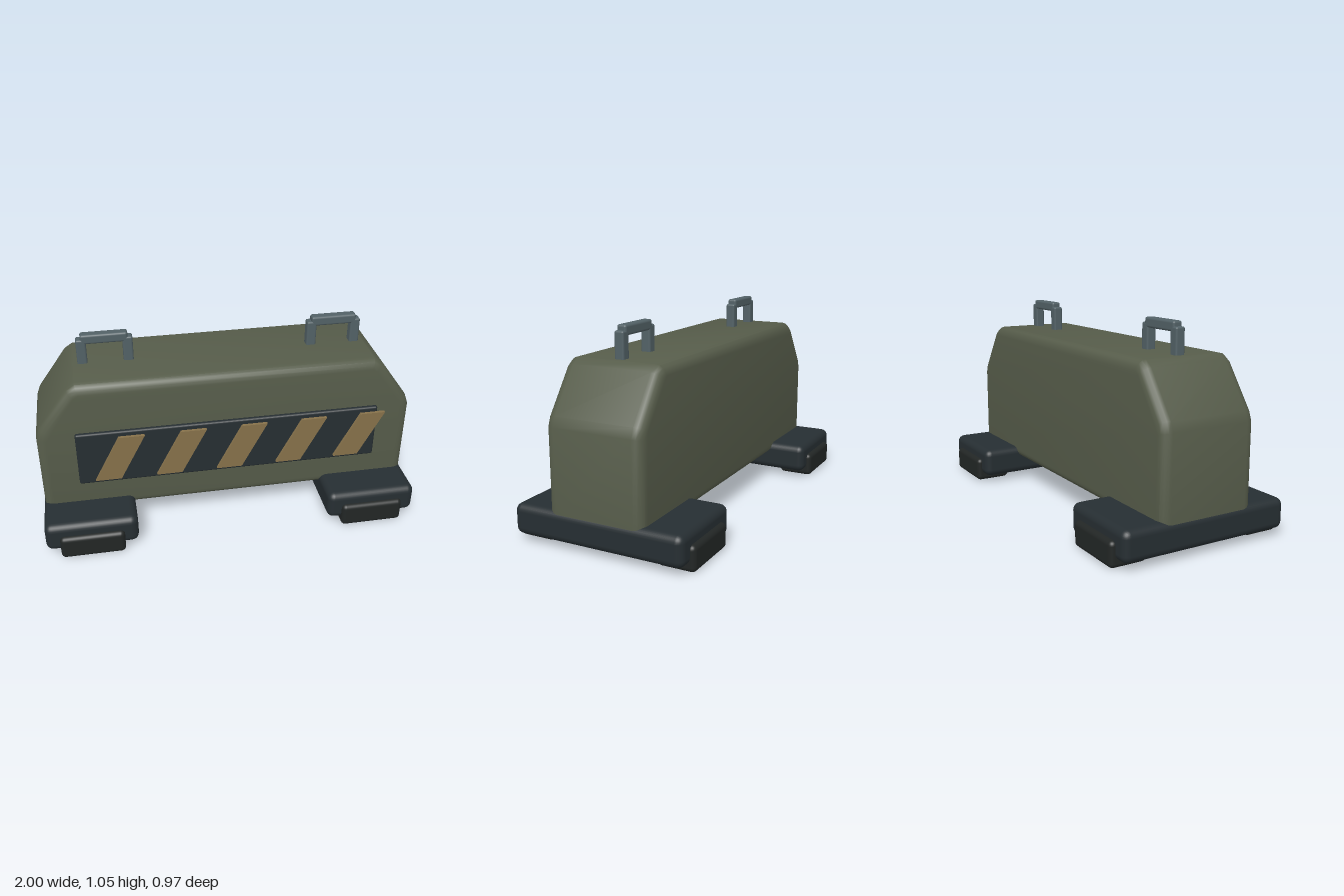
import * as THREE from 'three';
import { RoundedBoxGeometry } from 'three/addons/geometries/RoundedBoxGeometry.js';
import { toCreasedNormals } from 'three/addons/utils/BufferGeometryUtils.js';

const material = (color) => new THREE.MeshStandardMaterial({ color });
const OLIVE = material(0x565c4a);
const DARK = material(0x262e32);
const RUBBER = material(0x222625);
const OCHRE = material(0x86714a);
const STEEL = material(0x526166);

// Rounded box given by its minimum and maximum corners
function block(name, mat, [x0, y0, z0], [x1, y1, z1], radius) {
  const geo = new RoundedBoxGeometry(x1 - x0, y1 - y0, z1 - z0, 3, radius);
  const mesh = new THREE.Mesh(geo, mat);
  mesh.position.set((x0 + x1) / 2, (y0 + y1) / 2, (z0 + z1) / 2);
  mesh.name = name;
  return mesh;
}

function polygon(points) {
  return new THREE.Shape(points.map(([x, y]) => new THREE.Vector2(x, y)));
}

// Barrier body: sloped-shoulder outline with softly bevelled front and back
function createBody() {
  const half = [[0.993, 0.135], [0.993, 0.6], [0.975, 0.65], [0.82, 0.865], [0.775, 0.895]];
  const outline = [...half, ...half.map(([x, y]) => [-x, y]).reverse()];
  const bevel = 0.05;
  const depth = 0.52 - 2 * bevel;
  const geo = new THREE.ExtrudeGeometry(polygon(outline), {
    depth, bevelEnabled: true, bevelThickness: bevel, bevelSize: bevel,
    bevelOffset: -bevel, bevelSegments: 4,
  });
  geo.translate(0, 0, -depth / 2);
  const body = new THREE.Mesh(toCreasedNormals(geo, 0.6), OLIVE);
  body.name = 'body';
  return body;
}

// Hazard panel with five slanted stripes standing proud of the front
function createHazardPanel() {
  const group = new THREE.Group();
  group.name = 'hazardPanel';
  group.add(block('panelPlate', DARK, [-0.797, 0.337, 0.279], [0.792, 0.642, 0.306], 0.011));

  const shape = polygon([[-0.133, -0.127], [0, -0.127], [0.133, 0.127], [0, 0.127]]);
  const geo = new THREE.ExtrudeGeometry(shape, { depth: 0.017, bevelEnabled: false });
  for (let i = 0; i < 5; i++) {
    const stripe = new THREE.Mesh(geo, OCHRE);
    stripe.position.set(-0.58 + i * 0.319, 0.488, 0.305);
    stripe.name = 'stripe';
    group.add(stripe);
  }
  return group;
}

// Lifting handle: two posts and a crossbar
function createHandle() {
  const group = new THREE.Group();
  group.name = 'handle';
  for (const side of [-1, 1]) {
    const x = side * 0.119;
    group.add(block('handlePost', STEEL, [x - 0.026, 0.86, -0.026], [x + 0.026, 1.028, 0.026], 0.01));
  }
  group.add(block('handleBar', STEEL, [-0.121, 1.002, -0.026], [0.121, 1.054, 0.026], 0.012));
  return group;
}

// Crosswise base beam with a rubber foot at each end
function createBase() {
  const group = new THREE.Group();
  group.name = 'base';
  group.add(block('baseBeam', DARK, [-0.242, 0.037, -0.461], [0.242, 0.194, 0.461], 0.038));
  for (const z of [-0.388, 0.388]) {
    group.add(block('foot', RUBBER, [-0.168, 0, z - 0.098], [0.168, 0.13, z + 0.098], 0.024));
  }
  return group;
}

export function createModel() {
  const model = new THREE.Group();
  model.name = 'barrier';
  model.add(createBody(), createHazardPanel());
  for (const side of [-1, 1]) {
    const handle = createHandle();
    handle.position.x = side * 0.606;
    const base = createBase();
    base.position.x = side * 0.758;
    model.add(handle, base);
  }
  return model;
}
